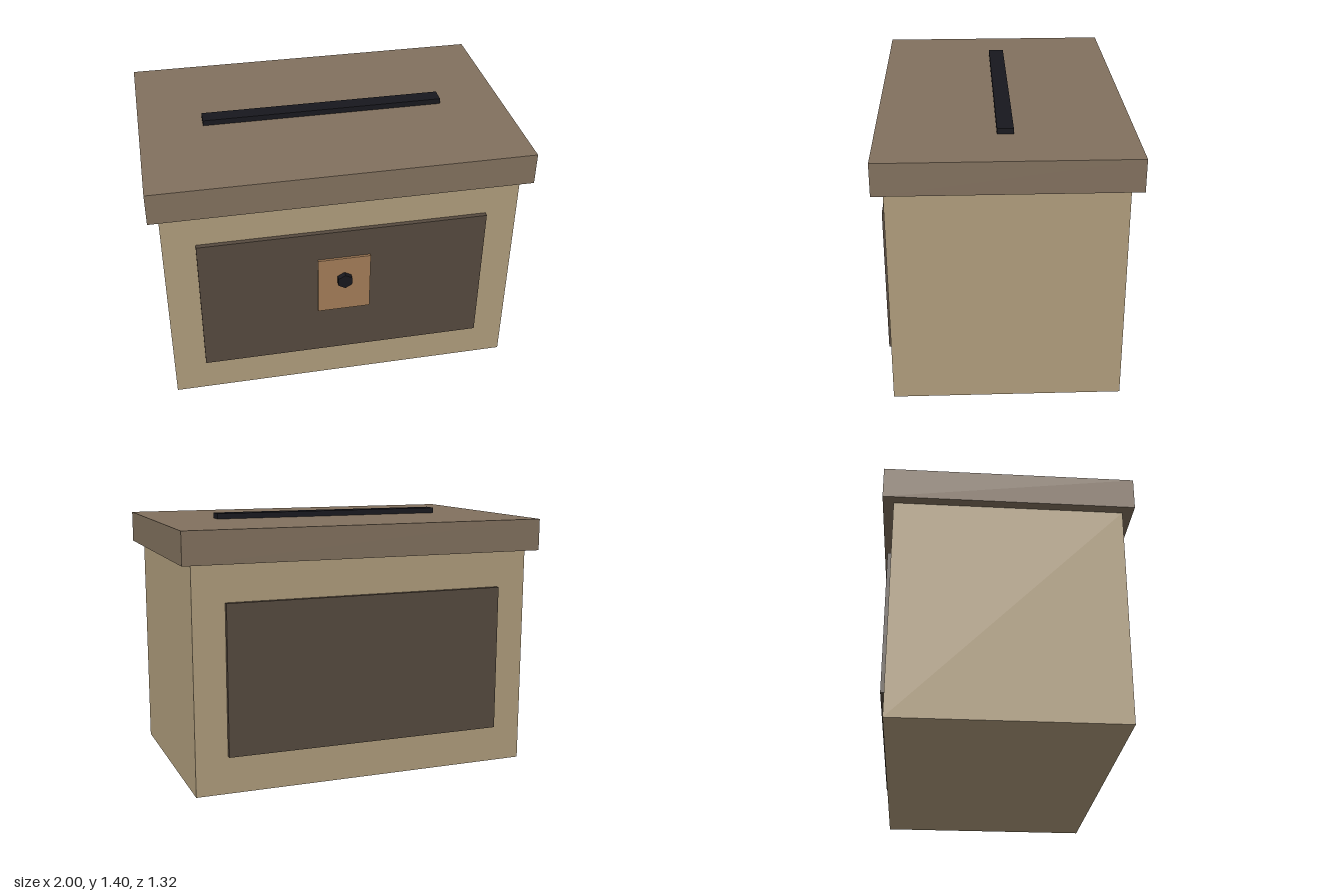
import * as THREE from 'three';

const material = (color) => new THREE.MeshStandardMaterial({ color, flatShading: true });

export function createModel() {
  const model = new THREE.Group();
  model.name = 'slottedBox';

  const wood = material(0xb09d7c);
  const lidWood = material(0x82715e);
  const darkWood = material(0x564a3f);
  const copper = material(0xa47d58);
  const black = material(0x18181e);
  const midZ = -0.004; // depth centre of the box

  function add(name, geometry, mat, x, y, z) {
    const mesh = new THREE.Mesh(geometry, mat);
    mesh.name = name;
    mesh.position.set(x, y, z);
    model.add(mesh);
    return mesh;
  }

  // Box body and overhanging lid
  add('body', new THREE.BoxGeometry(1.89, 1.203, 1.201), wood, 0, 0.6015, midZ);
  add('lid', new THREE.BoxGeometry(2, 0.172, 1.313), lidWood, 0, 1.287, midZ);

  // Raised strip marking the slot on the lid
  add('slot', new THREE.BoxGeometry(1.314, 0.086, 0.085), black, 0, 1.36, midZ);

  // Raised panels on front and back
  for (const [name, side] of [['frontPanel', 1], ['backPanel', -1]]) {
    add(name, new THREE.BoxGeometry(1.546, 0.8, 0.05), darkWood, 0, 0.602, midZ + side * 0.601);
  }

  // Lock plate with a hexagonal knob
  add('lockPlate', new THREE.BoxGeometry(0.285, 0.343, 0.035), copper, 0, 0.662, 0.6175);
  const knob = add('lockKnob', new THREE.CylinderGeometry(0.043, 0.043, 0.06, 6), black, 0, 0.698, 0.634);
  knob.rotation.x = Math.PI / 2;

  return model;
}
